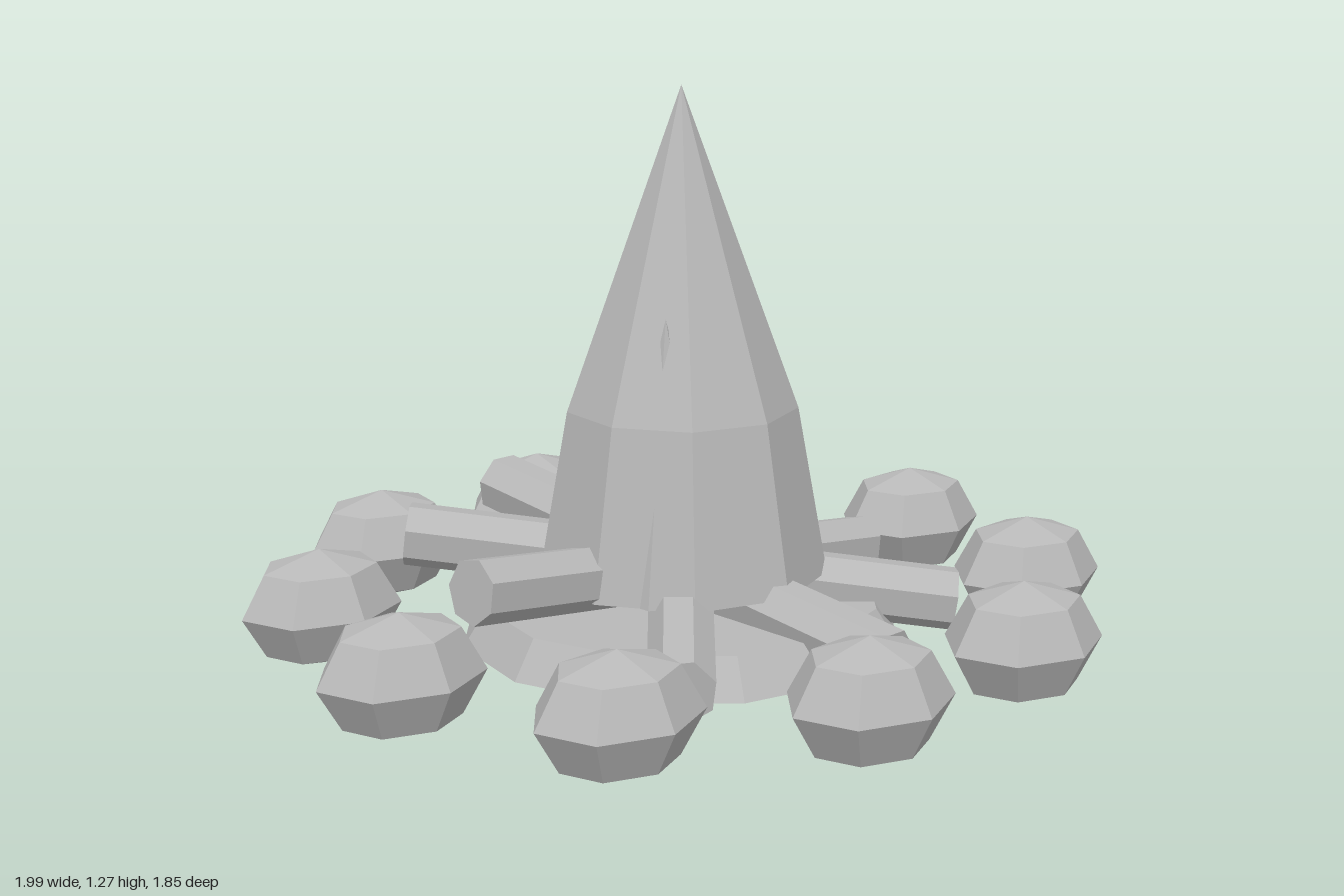
import * as THREE from 'three';

const CENTER_Z = -0.01;

// Pointed flame with a slight bulge, closed underneath
function flameGeometry(profile, sides) {
  const points = profile.map(([r, y]) => new THREE.Vector2(r, y));
  return new THREE.LatheGeometry(points, sides);
}

export function createModel() {
  const grey = new THREE.MeshStandardMaterial({ color: 0xb8b8b8, flatShading: true });
  grey.name = 'plain grey';

  const model = new THREE.Group();
  model.name = 'campfire';
  const add = (name, geometry, x, y, z) => {
    const mesh = new THREE.Mesh(geometry, grey);
    mesh.name = name;
    mesh.position.set(x, y, z + CENTER_Z);
    model.add(mesh);
    return mesh;
  };

  // Ash bed
  add('ashBed', new THREE.CylinderGeometry(0.45, 0.505, 0.085, 12), 0, 0.078, 0);

  // Ring of stones: squashed seven-sided balls with a corner to the front
  const stone = new THREE.SphereGeometry(1, 7, 4);
  stone.rotateY(Math.PI / 2);
  stone.scale(0.19, 0.132, 0.16);
  for (let i = 0; i < 10; i++) {
    const a = (i / 10) * Math.PI * 2;
    add('stone', stone, Math.cos(a) * 0.812, 0.132, Math.sin(a) * 0.812);
  }

  // Four long logs crossing in the middle, each tilted up at the back end
  for (let i = 0; i < 4; i++) {
    const a = -Math.PI / 4 + (i * Math.PI) / 4;
    const log = new THREE.CylinderGeometry(0.073, 0.073, 1.25, 7);
    log.rotateY(a);
    log.rotateX(Math.PI / 2);
    const mesh = add('log', log, 0, 0.185, 0);
    mesh.rotation.order = 'YXZ';
    mesh.rotation.set(0.125, a, 0);
  }

  // Main flame
  add('mainFlame', flameGeometry([[0, 0.18], [0.33, 0.18], [0.262, 0.56], [0, 1.275]], 9), 0, 0, 0);

  // Three small flames whose tips break through the main one
  const tongue = flameGeometry([[0, 0.18], [0.145, 0.18], [0.09, 0.42], [0, 0.79]], 6);
  for (const [x, z] of [[0.17, 0.075], [-0.148, 0.1], [0.03, -0.177]]) {
    add('sideFlame', tongue, x, 0, z);
  }

  return model;
}
